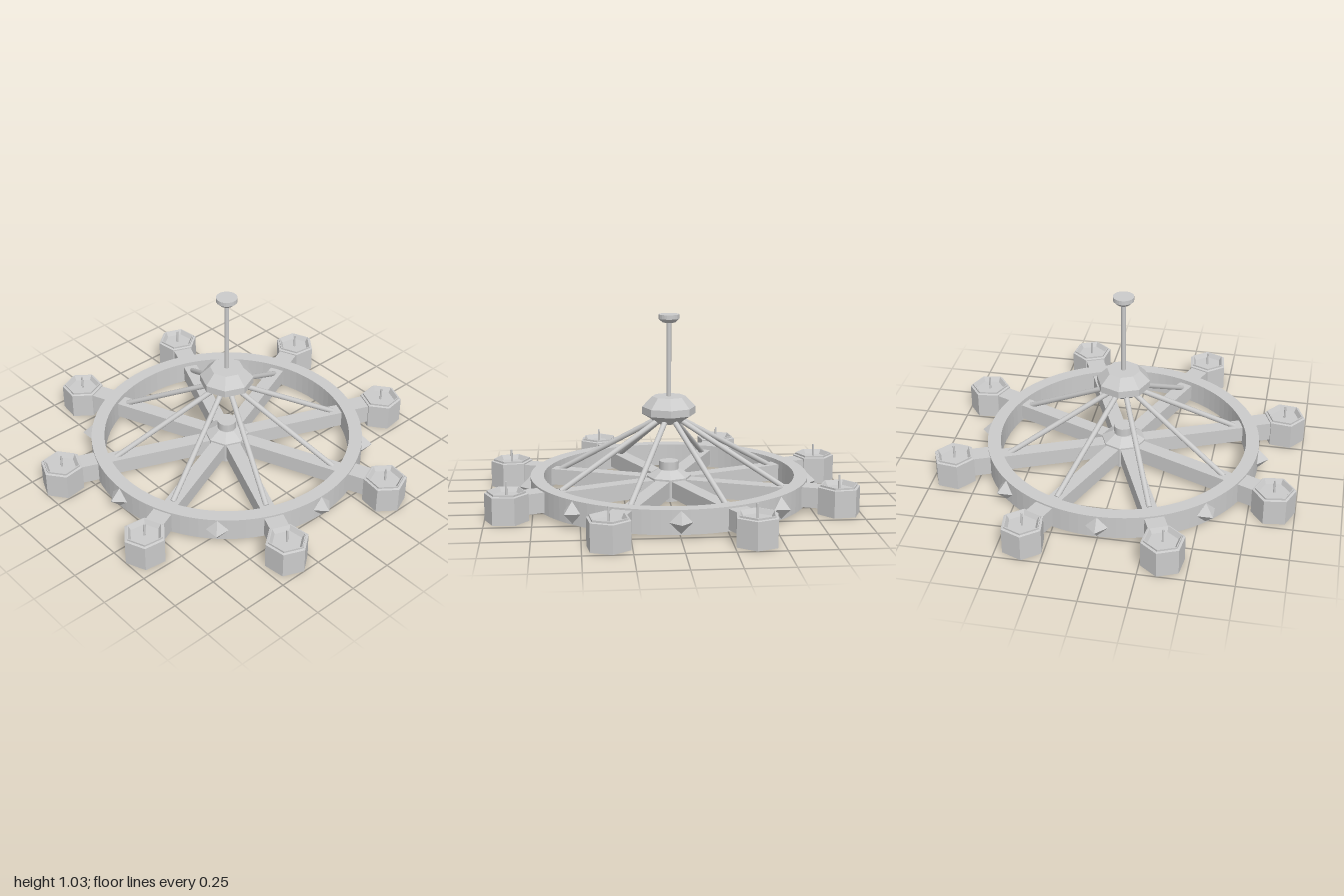
import * as THREE from 'three';

const flat = new THREE.MeshStandardMaterial({ color: 0xcccccc, flatShading: true });
const smooth = new THREE.MeshStandardMaterial({ color: 0xcccccc });

function add(parent, name, geometry, material = flat) {
  const mesh = new THREE.Mesh(geometry, material);
  mesh.name = name;
  parent.add(mesh);
  return mesh;
}

// Faceted turned part from [radius, height] pairs, listed bottom to top
function turned(profile, sides, phase = 0) {
  const points = profile.map(([r, y]) => new THREE.Vector2(r, y));
  return new THREE.LatheGeometry(points, sides, phase);
}

// Round bar between two points
function bar(parent, name, a, b, radius) {
  const dir = b.clone().sub(a);
  const mesh = add(parent, name, new THREE.CylinderGeometry(radius, radius, dir.length(), 12), smooth);
  mesh.position.copy(a).addScaledVector(dir, 0.5);
  mesh.quaternion.setFromUnitVectors(new THREE.Vector3(0, 1, 0), dir.normalize());
  return mesh;
}

// Box running along +x from x0 to x1
function beam(parent, name, x0, x1, y0, y1, width) {
  const mesh = add(parent, name, new THREE.BoxGeometry(x1 - x0, y1 - y0, width));
  mesh.position.set((x0 + x1) / 2, (y0 + y1) / 2, 0);
}

// Spoke, strut, outer arm and candle cup, laid out along +x
function createBranch() {
  const branch = new THREE.Group();
  branch.name = 'branch';
  beam(branch, 'spoke', 0.05, 0.72, 0.035, 0.125, 0.08);
  beam(branch, 'cupArm', 0.74, 0.88, 0.03, 0.14, 0.105);
  bar(branch, 'strut', new THREE.Vector3(0.06, 0.455, 0), new THREE.Vector3(0.65, 0.12, 0), 0.015);

  const cup = new THREE.Group();
  cup.name = 'candleCup';
  cup.position.x = 0.955;
  branch.add(cup);
  // Hexagonal cup with a stepped rim and a sloping recess, one flat facing outward
  add(cup, 'cup', turned([
    [0, 0], [0.118, 0], [0.118, 0.147], [0.104, 0.15], [0.104, 0.16], [0.098, 0.16], [0.082, 0.135], [0, 0.135],
  ], 6));
  bar(cup, 'wick', new THREE.Vector3(0, 0.13, 0), new THREE.Vector3(0, 0.21, 0), 0.006);
  return branch;
}

export function createModel() {
  const model = new THREE.Group();
  model.name = 'chandelier';

  // Wheel rim
  const ring = new THREE.Shape().absarc(0, 0, 0.765, 0, Math.PI * 2, false);
  ring.holes.push(new THREE.Path().absarc(0, 0, 0.692, 0, Math.PI * 2, true));
  const rimGeometry = new THREE.ExtrudeGeometry(ring, { depth: 0.13, bevelEnabled: false, curveSegments: 48 });
  rimGeometry.rotateX(-Math.PI / 2).translate(0, 0.02, 0);
  add(model, 'rim', rimGeometry, smooth);

  // Eight branches with a pointed stud on the rim between each pair
  for (let i = 0; i < 8; i++) {
    const angle = (i * Math.PI) / 4;
    const branch = createBranch();
    branch.rotation.y = angle + Math.PI / 8;
    model.add(branch);

    const stud = add(model, 'rimStud', new THREE.OctahedronGeometry(0.06));
    stud.position.set(0.765 * Math.cos(angle), 0.085, -0.765 * Math.sin(angle));
    stud.rotation.y = angle;
  }

  // Lower hub with its round knob
  add(model, 'lowerHub', turned([[0, 0.012], [0.123, 0.012], [0.123, 0.135], [0.06, 0.172], [0, 0.172]], 8));
  bar(model, 'lowerKnob', new THREE.Vector3(0, 0.16, 0), new THREE.Vector3(0, 0.218, 0), 0.054);

  // Upper hub gathering the struts
  add(model, 'upperHub', turned([
    [0, 0.435], [0.075, 0.435], [0.105, 0.46], [0.148, 0.485], [0.148, 0.525], [0.092, 0.582], [0, 0.582],
  ], 8));

  // Hanging rod and ceiling cap
  bar(model, 'hangingRod', new THREE.Vector3(0, 0.57, 0), new THREE.Vector3(0, 1.01, 0), 0.013);
  add(model, 'ceilingCap', turned([[0, 0.99], [0.036, 0.99], [0.057, 1.01], [0.057, 1.034], [0, 1.034]], 24));

  return model;
}
